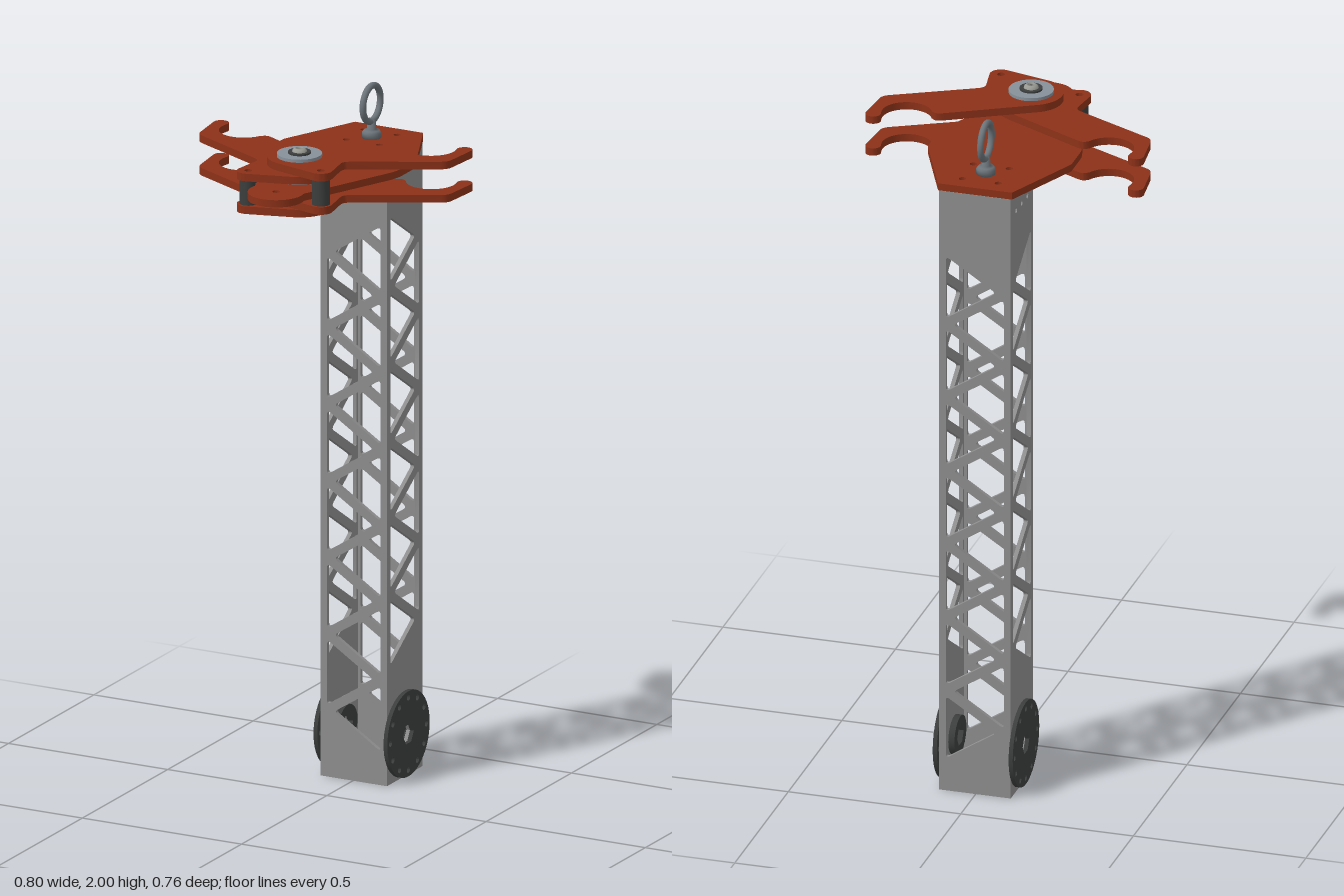
import * as THREE from 'three';
import { toCreasedNormals } from 'three/addons/utils/BufferGeometryUtils.js';

const mat = (color) => new THREE.MeshStandardMaterial({ color });
const CX = 0.0025, MAST_Z = -0.257, PIVOT_Z = 0.165;
const HALF = 0.104, WALL = 0.012, MAST_TOP = 1.82, AXLE_Y = 0.125;

// Closed path from [x, y, cornerRadius] points
function trace(path, pts) {
  const n = pts.length;
  const toward = (a, b, r) => {
    const d = Math.hypot(b[0] - a[0], b[1] - a[1]);
    const t = Math.min(r / d, 0.45);
    return [a[0] + (b[0] - a[0]) * t, a[1] + (b[1] - a[1]) * t];
  };
  pts.forEach((p, i) => {
    const r = p[2] || 0;
    const a = r ? toward(p, pts[(i + n - 1) % n], r) : p;
    if (i === 0) path.moveTo(a[0], a[1]); else path.lineTo(a[0], a[1]);
    if (r) {
      const b = toward(p, pts[(i + 1) % n], r);
      path.quadraticCurveTo(p[0], p[1], b[0], b[1]);
    }
  });
  path.closePath();
  return path;
}

// Points on an arc, angles in degrees
function arc(cx, cy, r, from, to, steps = 16) {
  return Array.from({ length: steps + 1 }, (_, i) => {
    const a = THREE.MathUtils.degToRad(from + (to - from) * i / steps);
    return [cx + r * Math.cos(a), cy + r * Math.sin(a)];
  });
}

const round = (x, y, r, sides = 16) => trace(new THREE.Path(), arc(x, y, r, 0, 360 - 360 / sides, sides - 1));

function extrude(shape, depth) {
  const g = new THREE.ExtrudeGeometry(shape, { depth, bevelEnabled: false, curveSegments: 5 });
  return toCreasedNormals(g, 0.5);
}

// Horizontal plate from [x, z, radius] points and [x, z, radius] holes
function plate(pts, holes, thickness) {
  const shape = trace(new THREE.Shape(), pts.map(([x, z, r]) => [x, -z, r]));
  holes.forEach(([x, z, r]) => shape.holes.push(round(x, -z, r)));
  return extrude(shape, thickness).rotateX(-Math.PI / 2);
}

function add(parent, name, geometry, material, x = 0, y = 0, z = 0) {
  const m = new THREE.Mesh(geometry, material);
  m.name = name;
  m.position.set(x, y, z);
  parent.add(m);
  return m;
}

// Mast wall with a zigzag of rounded triangular cut-outs
function wall(halfWidth, firstY, count, baseSide, extraHoles = []) {
  const step = 0.1114, h = 0.094, edge = 0.084, apex = 0.062;
  const shape = trace(new THREE.Shape(), [[-halfWidth, 0], [halfWidth, 0], [halfWidth, MAST_TOP], [-halfWidth, MAST_TOP]]);
  for (let i = 0; i < count; i++) {
    const s = i % 2 ? -baseSide : baseSide, y = firstY + i * step;
    shape.holes.push(trace(new THREE.Path(), [
      [s * edge, y - h, 0.014], [s * edge, y + h, 0.014], [-s * apex, y, 0.014]]));
  }
  shape.holes.push(...extraHoles);
  return extrude(shape, WALL);
}

export function createModel() {
  const root = new THREE.Group();
  root.name = 'mastWithClaws';
  const grey = mat(0x8e8e8e), rust = mat(0x8c3118), dark = mat(0x3c3e3e);
  const steel = mat(0x6c747a), washerMat = mat(0x87909a), boltMat = mat(0x9a9a94);

  // Square lattice mast
  const mast = new THREE.Group();
  mast.name = 'mast';
  mast.position.set(CX, 0, MAST_Z);
  root.add(mast);
  const face = wall(HALF - WALL, 0.192, 13, 1);
  add(mast, 'mastFront', face, grey, 0, 0, HALF - WALL);
  add(mast, 'mastBack', face, grey, 0, 0, -HALF);
  const screwHoles = [-0.052, 0, 0.052].map((z) => round(z, 1.765, 0.008, 10));
  const side = wall(HALF, 0.44, 11, -1, [round(0, AXLE_Y, 0.032, 6), ...screwHoles]).rotateY(Math.PI / 2);
  add(mast, 'mastLeft', side, grey, HALF - WALL);
  add(mast, 'mastRight', side, grey, -HALF);

  // Drilled discs with a hex bore and inner hubs at the foot
  const discShape = trace(new THREE.Shape(), arc(0, 0, 0.124, 0, 352.5, 47));
  discShape.holes.push(round(0, 0, 0.031, 6));
  arc(0, 0, 0.105, 0, 330, 11).forEach(([x, y]) => discShape.holes.push(round(x, y, 0.009, 10)));
  const disc = extrude(discShape, 0.012).rotateY(Math.PI / 2);
  const hubShape = trace(new THREE.Shape(), arc(0, 0, 0.056, 0, 345, 23));
  hubShape.holes.push(round(0, 0, 0.031, 6));
  const hub = extrude(hubShape, 0.018).rotateY(Math.PI / 2);
  for (const s of [-1, 1]) {
    add(mast, 'footDisc', disc, dark, s > 0 ? HALF : -HALF - 0.012, AXLE_Y);
    add(mast, 'footHub', hub, dark, s > 0 ? HALF - WALL - 0.018 : -HALF + WALL, AXLE_Y);
  }

  // Top plate with a rounded tongue towards the front
  const half = [[0.107, -0.36], [0.208, -0.13], [0.208, -0.02, 0.03]];
  const top = plate([
    ...half,
    ...arc(0, 0.302, 0.079, -14, 194, 24),
    ...half.map(([x, z, r]) => [-x, z, r]).reverse(),
  ], [[-0.052, -0.31, 0.01], [0.052, -0.31, 0.01], [-0.052, -0.207, 0.01], [0.052, -0.207, 0.01], [0, 0.302, 0.011]], 0.021);
  add(root, 'topPlate', top, rust, CX, 1.82, 0);

  // Lifting eye
  const eye = new THREE.Group();
  eye.name = 'liftingEye';
  eye.position.set(CX, 0, MAST_Z);
  root.add(eye);
  add(eye, 'eyeRing', new THREE.TorusGeometry(0.051, 0.0095, 14, 40).rotateY(Math.PI / 2), steel, 0, 1.9395);
  add(eye, 'eyeCollar', new THREE.LatheGeometry([
    [0, 1.84], [0.027, 1.84], [0.027, 1.856], [0.022, 1.863], [0.013, 1.866], [0.011, 1.895], [0, 1.895],
  ].map(([r, y]) => new THREE.Vector2(r, y)), 24), steel);

  // Claws: a pair of stacked plates each, turning about one pivot
  const clawOutline = [
    ...arc(0, 0.165, 0.09, 104, 241, 20),
    [0.207, -0.054, 0.022],
    ...arc(0.288, -0.07, 0.07, 155, -8, 24),
    ...arc(0.375, -0.102, 0.022, 155, 360, 14),
    [0.387, 0.018, 0.02],
    [0.13, 0.155, 0.02],
    ...arc(0.1145, 0.253, 0.032, -5, 104, 10),
  ];
  function claw(name, s, levels, turn) {
    const g = new THREE.Group();
    g.name = name;
    g.position.set(CX, 0, PIVOT_Z);
    g.rotation.y = turn;
    const geo = plate(clawOutline.map(([x, z, r]) => [s * x, z - PIVOT_Z, r]), [[s * 0.1145, 0.088, 0.011]], 0.022);
    levels.forEach((y) => add(g, 'clawPlate', geo, rust, 0, y, 0));
    const gap = levels[1] - levels[0] - 0.022;
    const ring = trace(new THREE.Shape(), arc(0, 0, 0.025, 0, 345, 23));
    ring.holes.push(round(0, 0, 0.011));
    add(g, 'clawSpacer', extrude(ring, gap).rotateX(-Math.PI / 2), dark, s * 0.1145, levels[0] + 0.022, 0.088);
    root.add(g);
  }
  claw('leftClaw', 1, [1.787, 1.884], 0);
  claw('rightClaw', -1, [1.756, 1.851], THREE.MathUtils.degToRad(1.8));

  // Pivot: washers through the stack and a bolt at each end
  const pivot = new THREE.Group();
  pivot.name = 'pivot';
  pivot.position.set(CX, 0, PIVOT_Z);
  root.add(pivot);
  const cyl = (name, r, y0, y1, m, sides = 36) =>
    add(pivot, name, new THREE.CylinderGeometry(r, r, y1 - y0, sides), m, 0, (y0 + y1) / 2, 0);
  cyl('pivotWashers', 0.063, 1.747, 1.915, washerMat);
  cyl('pivotRingTop', 0.032, 1.914, 1.92, dark);
  cyl('pivotRingBottom', 0.032, 1.742, 1.748, dark);
  const head = new THREE.LatheGeometry([
    [0.009, 0.001], [0.009, 0.01], [0.014, 0.009], [0.019, 0.005], [0.021, 0],
  ].map(([r, y]) => new THREE.Vector2(r, y)).reverse(), 24);
  for (const s of [-1, 1]) {
    const y = s > 0 ? 1.92 : 1.742;
    add(pivot, 'boltHead', head, boltMat, 0, y, 0).rotation.x = s > 0 ? 0 : Math.PI;
    cyl('boltSocket', 0.0095, y - 0.004, y + 0.004, dark, 6);
  }
  return root;
}
